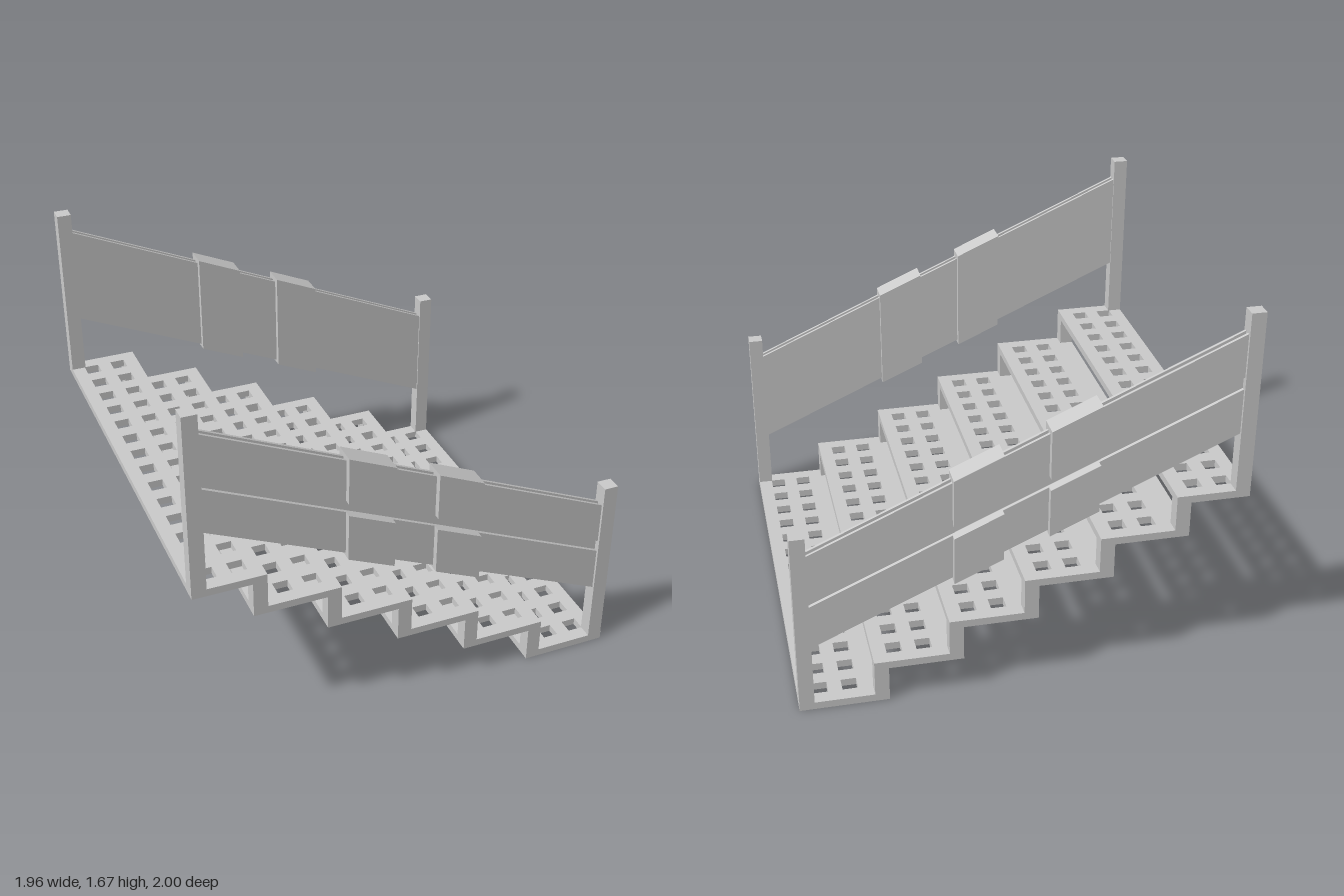
import * as THREE from 'three';

const STEPS = 6, RUN = 0.327, RISE = 0.164, THICK = 0.034;
const POST = 0.065, EDGE = 0.98, SLOPE = -0.4455;

export function createModel() {
  const model = new THREE.Group();
  const material = new THREE.MeshStandardMaterial({ color: 0xcccccc, flatShading: true });

  const add = (name, geometry) => {
    const mesh = new THREE.Mesh(geometry, material);
    mesh.name = name;
    model.add(mesh);
    return mesh;
  };

  const box = (name, x0, x1, y0, y1, z0, z1) =>
    add(name, new THREE.BoxGeometry(x1 - x0, y1 - y0, Math.abs(z1 - z0)))
      .position.set((x0 + x1) / 2, (y0 + y1) / 2, (z0 + z1) / 2);

  // Perforated tread: a plate with two columns of fourteen square holes
  const tread = (i) => {
    const right = -0.657 + RUN * i;
    const left = Math.max(-EDGE, right - 0.39);
    const shape = new THREE.Shape([
      new THREE.Vector2(left, -EDGE), new THREE.Vector2(right, -EDGE),
      new THREE.Vector2(right, EDGE), new THREE.Vector2(left, EDGE),
    ]);
    const h = 0.034;
    for (const cx of [-0.885, -0.755]) {
      for (let row = 0; row < 14; row++) {
        const x = cx + RUN * i, z = (row - 6.5) * 0.1358;
        shape.holes.push(new THREE.Path([
          new THREE.Vector2(x - h, z - h), new THREE.Vector2(x - h, z + h),
          new THREE.Vector2(x + h, z + h), new THREE.Vector2(x + h, z - h),
        ]));
      }
    }
    const geometry = new THREE.ExtrudeGeometry(shape, { depth: THICK, bevelEnabled: false });
    geometry.rotateX(Math.PI / 2);
    add('tread', geometry).position.y = THICK + RISE * (STEPS - 1 - i);
  };

  // Sloping bar: a (z, y) section swept along x, then sheared to the stair pitch
  const slopedBar = (name, section, x0, x1, side) => {
    const shape = new THREE.Shape(section.map(([z, y]) => new THREE.Vector2(-side * z, y)));
    const geometry = new THREE.ExtrudeGeometry(shape, { depth: x1 - x0, bevelEnabled: false });
    geometry.rotateY(Math.PI / 2);
    geometry.translate(x0, 0, 0);
    const p = geometry.attributes.position;
    for (let i = 0; i < p.count; i++) p.setY(i, p.getY(i) + SLOPE * p.getX(i));
    geometry.computeVertexNormals();
    add(name, geometry);
  };

  // Sections with a long groove in the outer face; the panel also has one on its top edge
  const panelSection = [
    [0.922, 0.717], [0.968, 0.717], [0.968, 0.922], [0.952, 0.922], [0.952, 0.977], [0.968, 0.977],
    [0.968, 1.172], [0.955, 1.172], [0.955, 1.155], [0.935, 1.155], [0.935, 1.172], [0.922, 1.172],
  ];
  const bandSection = [
    [0.895, 0.702], [0.998, 0.702], [0.998, 0.922], [0.952, 0.922],
    [0.952, 0.977], [0.998, 0.977], [0.998, 1.195], [0.895, 1.195],
  ];

  for (let i = 0; i < STEPS; i++) tread(i);

  for (const side of [1, -1]) {
    const inner = side * (EDGE - POST), outer = side * EDGE;

    // Short legs joining each tread to the next one down
    for (let i = 0; i < STEPS - 1; i++) {
      const right = -0.657 + RUN * i, y = RISE * (STEPS - 1 - i);
      box('stepLeg', right - 0.063, right, y - RISE + THICK, y, inner, outer);
    }

    // End posts
    box('topPost', -EDGE, -0.915, 0.82, 1.675, inner, outer);
    box('bottomPost', 0.912, 0.977, 0, 0.858, inner, outer);

    // Side panel with two thick bands
    slopedBar('railPanel', panelSection, -0.915, 0.912, side);
    for (const x of [-0.31, 0.094]) slopedBar('railBand', bandSection, x, x + 0.21, side);
  }
  return model;
}
